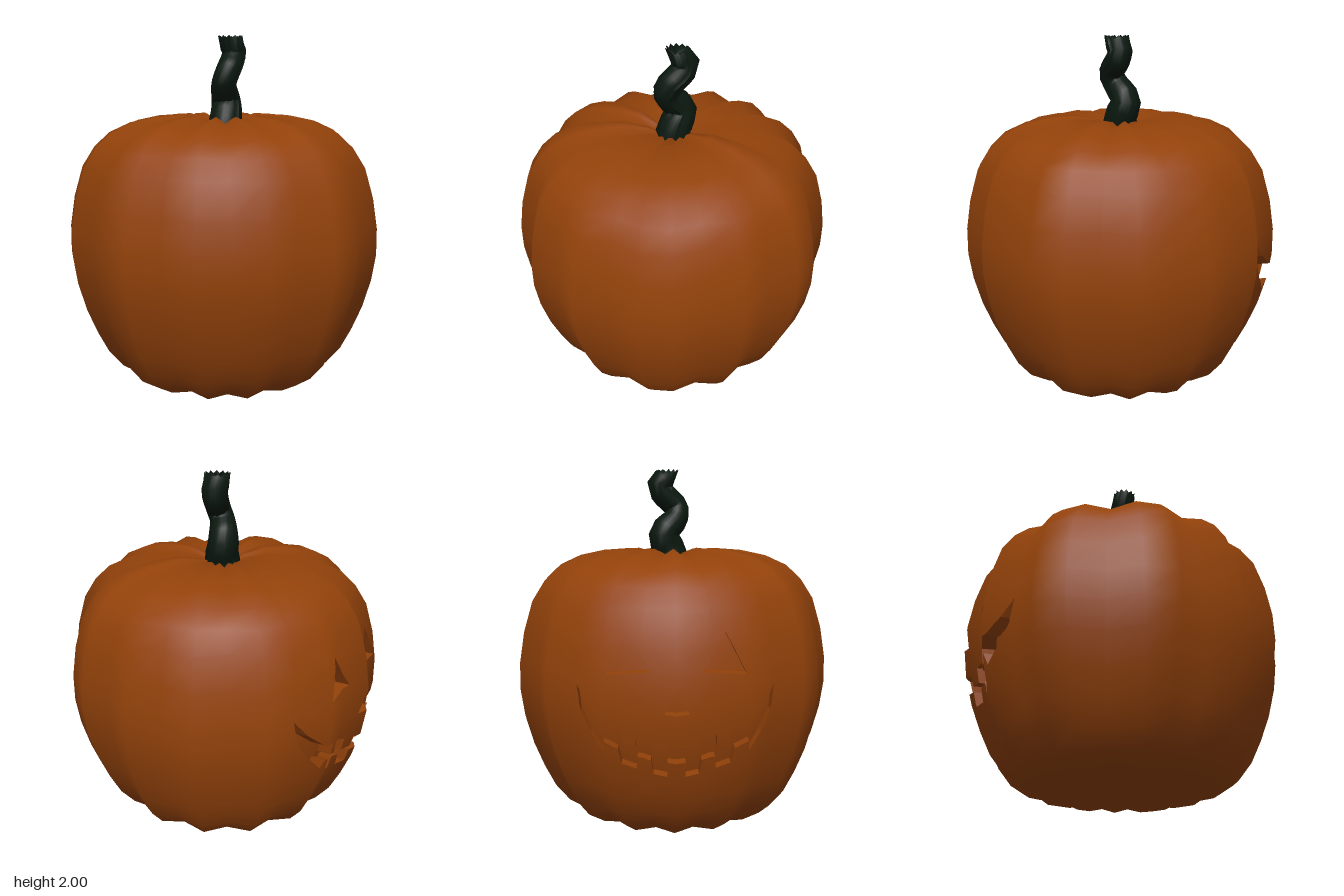
import * as THREE from 'three';

// Body profile from bottom to top: radius, height, height change in the grooves
const PROFILE = [
  [0.001, 0.09, 0], [0.13, 0.05, 0.01], [0.25, 0.012, 0.015], [0.36, 0, 0.015], [0.52, 0.035, 0.015], [0.63, 0.105, 0.01],
  [0.71, 0.205, 0], [0.772, 0.33, 0], [0.828, 0.47, 0], [0.872, 0.63, 0], [0.894, 0.78, 0], [0.892, 0.93, 0],
  [0.865, 1.1, 0], [0.815, 1.27, 0], [0.745, 1.38, -0.01], [0.66, 1.46, -0.02], [0.54, 1.515, -0.03],
  [0.4, 1.545, -0.04], [0.26, 1.555, -0.04], [0.13, 1.53, -0.03], [0.001, 1.48, 0],
];
const SIDES = 30;
const GROOVES = [1, 3, 5, 7, 9, 12, 14, 17, 19, 21, 24, 27, 29]; // uneven rib widths
const CARVE_DEPTH = 0.075;
const FACE = { s0: -4, s1: 4, v0: 7, v1: 13 }; // grid area that holds the carving

const isGroove = (i) => GROOVES.includes((i + SIDES) % SIDES);

// Corner of the body grid; column 0 is the middle of the carved face at -z
function corner(i, j) {
  const [r, y, dip] = PROFILE[j];
  const a = (i / SIDES) * Math.PI * 2;
  const low = isGroove(i);
  const rr = low ? r * 0.93 : r;
  return new THREE.Vector3(rr * Math.sin(a), low ? y + dip : y, -rr * Math.cos(a));
}

// Smooth normal at a grid corner
function cornerNormal(i, j) {
  const k = Math.min(Math.max(j, 1), PROFILE.length - 2);
  const along = corner(i, Math.min(j + 1, PROFILE.length - 1)).sub(corner(i, Math.max(j - 1, 0)));
  const across = corner(i + 1, k).sub(corner(i - 1, k));
  return along.cross(across).normalize();
}

// Bilinear blend of a corner function inside one grid cell
function blend(fn, i, j, s, v) {
  const a = fn(i, j).lerp(fn(i + 1, j), s - i);
  const b = fn(i, j + 1).lerp(fn(i + 1, j + 1), s - i);
  return a.lerp(b, v - j);
}

// Cut a polygon with the line p[k] = c and keep one side
function clip(poly, k, c, sign) {
  const out = [];
  poly.forEach((p, n) => {
    const q = poly[(n + 1) % poly.length];
    const a = sign * (p[k] - c), b = sign * (q[k] - c);
    if (a >= 0) out.push(p);
    if (a * b < 0) {
      const t = a / (a - b);
      out.push([p[0] + (q[0] - p[0]) * t, p[1] + (q[1] - p[1]) * t]);
    }
  });
  return out;
}

const area = (p) => p.reduce((sum, a, n) => {
  const b = p[(n + 1) % p.length];
  return sum + a[0] * b[1] - a[1] * b[0];
}, 0);

// Collects grid polygons as triangles lying on the body surface
class Skin {
  positions = [];
  normals = [];
  add(poly, i, j, push = 0) {
    const size = area(poly);
    if (Math.abs(size) < 1e-7) return;
    const ring = size > 0 ? [...poly].reverse() : poly;
    const pts = ring.map(([s, v]) => blend(corner, i, j, s, v).add(new THREE.Vector3(0, 0, push)));
    const nrm = ring.map(([s, v]) => blend(cornerNormal, i, j, s, v).normalize());
    for (let n = 1; n < ring.length - 1; n++) {
      for (const m of [0, n, n + 1]) {
        this.positions.push(...pts[m].toArray());
        this.normals.push(...nrm[m].toArray());
      }
    }
  }
  // Triangulate an outline with holes and split it along the grid cells
  addOutline(outline, holes, push) {
    const vec = (loop) => loop.map(([x, y]) => new THREE.Vector2(x, y));
    const all = [...outline, ...holes.flat()];
    for (const tri of THREE.ShapeUtils.triangulateShape(vec(outline), holes.map(vec))) {
      for (let i = FACE.s0; i < FACE.s1; i++) {
        for (let j = FACE.v0; j < FACE.v1; j++) {
          let p = clip(clip(tri.map((n) => all[n]), 0, i, 1), 0, i + 1, -1);
          p = clip(clip(p, 1, j, 1), 1, j + 1, -1);
          if (p.length > 2) this.add(p, i, j, push);
        }
      }
    }
  }
  mesh(name, material) {
    const g = new THREE.BufferGeometry();
    g.setAttribute('position', new THREE.Float32BufferAttribute(this.positions, 3));
    g.setAttribute('normal', new THREE.Float32BufferAttribute(this.normals, 3));
    const m = new THREE.Mesh(g, material);
    m.name = name;
    return m;
  }
}

// Turn a face point (x, y) into grid coordinates
function toGrid([x, y]) {
  let j = FACE.v0;
  while (j < FACE.v1 - 1 && PROFILE[j + 1][1] < y) j++;
  const v = j + (y - PROFILE[j][1]) / (PROFILE[j + 1][1] - PROFILE[j][1]);
  return [(Math.asin(x / 0.88) / (Math.PI * 2)) * SIDES, v];
}

const mirror = (pts) => pts.map(([x, y]) => [-x, y]).reverse();

function carvings() {
  const eye = [[0.135, 0.975], [0.34, 0.965], [0.255, 1.165]];
  const nose = [[-0.065, 0.78], [0.065, 0.78], [0, 0.91]];
  const lower = [[0.05, 0.53], [0.05, 0.45], [0.13, 0.455], [0.14, 0.53], [0.21, 0.545], [0.22, 0.48], [0.29, 0.51],
    [0.3, 0.59], [0.36, 0.63], [0.375, 0.57], [0.45, 0.66], [0.505, 0.76]];
  const upper = [[0.525, 0.89], [0.46, 0.8], [0.38, 0.73], [0.28, 0.69], [0.275, 0.61], [0.215, 0.6], [0.21, 0.66],
    [0.13, 0.64], [0.125, 0.56], [0.06, 0.56], [0.05, 0.62]];
  const half = [...lower, ...upper];
  const loops = { eyeLeft: eye, eyeRight: mirror(eye), nose, mouth: [...half, ...mirror(half)] };
  return Object.entries(loops).map(([name, pts]) => [name, pts.map(toGrid)]);
}

// Side walls of a carved opening
function carvedWalls(loop) {
  const pos = [];
  const at = ([s, v]) => blend(corner, Math.floor(s), Math.floor(v), s, v);
  const steps = 6;
  loop.forEach((a, n) => {
    const b = loop[(n + 1) % loop.length];
    const pts = Array.from({ length: steps + 1 }, (_, k) =>
      at([a[0] + ((b[0] - a[0]) * k) / steps, a[1] + ((b[1] - a[1]) * k) / steps]));
    for (let k = 0; k < steps; k++) {
      const p = pts[k], q = pts[k + 1];
      const pi = p.clone().setZ(p.z + CARVE_DEPTH), qi = q.clone().setZ(q.z + CARVE_DEPTH);
      for (const w of [p, q, qi, p, qi, pi]) pos.push(...w.toArray());
    }
  });
  const g = new THREE.BufferGeometry();
  g.setAttribute('position', new THREE.Float32BufferAttribute(pos, 3));
  g.computeVertexNormals();
  return g;
}

// Crooked fluted stem with a sunken, jagged top
function stemGeometry() {
  const path = new THREE.CatmullRomCurve3([
    [0.0, 1.46, 0], [0.02, 1.55, 0], [0.05, 1.635, -0.025], [-0.025, 1.73, 0.02], [-0.025, 1.79, 0.045],
    [0.045, 1.86, 0.025], [0.075, 1.91, 0.015], [0.025, 1.965, 0.025], [0.015, 2.0, 0.03],
  ].map((p) => new THREE.Vector3(...p)));
  const rings = 18, sides = 24;
  const g = new THREE.TubeGeometry(path, rings, 1, sides);
  const pos = g.attributes.position, p = new THREE.Vector3();
  for (let i = 0; i <= rings; i++) {
    const c = path.getPointAt(i / rings);
    for (let j = 0; j <= sides; j++) {
      const n = i * (sides + 1) + j;
      const flute = j % 2 ? 0.92 : 1.04;
      const radius = i === rings ? 0.001 : (0.1 - 0.032 * Math.min(1, (2 * i) / rings)) * flute;
      p.fromBufferAttribute(pos, n).sub(c).multiplyScalar(radius).add(c);
      if (i === rings) p.y = 1.965;
      if (i === rings - 1) p.y = j % 2 ? 1.985 : 2;
      pos.setXYZ(n, p.x, Math.min(p.y, 2), p.z);
    }
  }
  g.computeVertexNormals();
  return g;
}

export function createModel() {
  const model = new THREE.Group();
  const orange = new THREE.MeshStandardMaterial({ color: 0x93420a, side: THREE.DoubleSide });
  const green = new THREE.MeshStandardMaterial({ color: 0x0a180f, side: THREE.DoubleSide });
  const cuts = carvings();

  // Ribbed body, with the face area cut open
  const body = new Skin();
  const { s0, s1, v0, v1 } = FACE;
  for (let i = s0; i < s0 + SIDES; i++) {
    for (let j = 0; j < PROFILE.length - 1; j++) {
      if (i < s1 && j >= v0 && j < v1) continue;
      body.add([[i, j], [i + 1, j], [i + 1, j + 1], [i, j + 1]], i, j);
    }
  }
  body.addOutline([[s0, v0], [s1, v0], [s1, v1], [s0, v1]], cuts.map((c) => c[1]), 0);
  model.add(body.mesh('body', orange));

  // Carved eyes, nose and toothed mouth
  for (const [name, loop] of cuts) {
    const part = new THREE.Group();
    part.name = name;
    const floor = new Skin();
    floor.addOutline(loop, [], CARVE_DEPTH);
    const walls = new THREE.Mesh(carvedWalls(loop), orange);
    walls.name = name + 'Walls';
    part.add(floor.mesh(name + 'Floor', orange), walls);
    model.add(part);
  }

  const stem = new THREE.Mesh(stemGeometry(), green);
  stem.name = 'stem';
  model.add(stem);
  return model;
}
